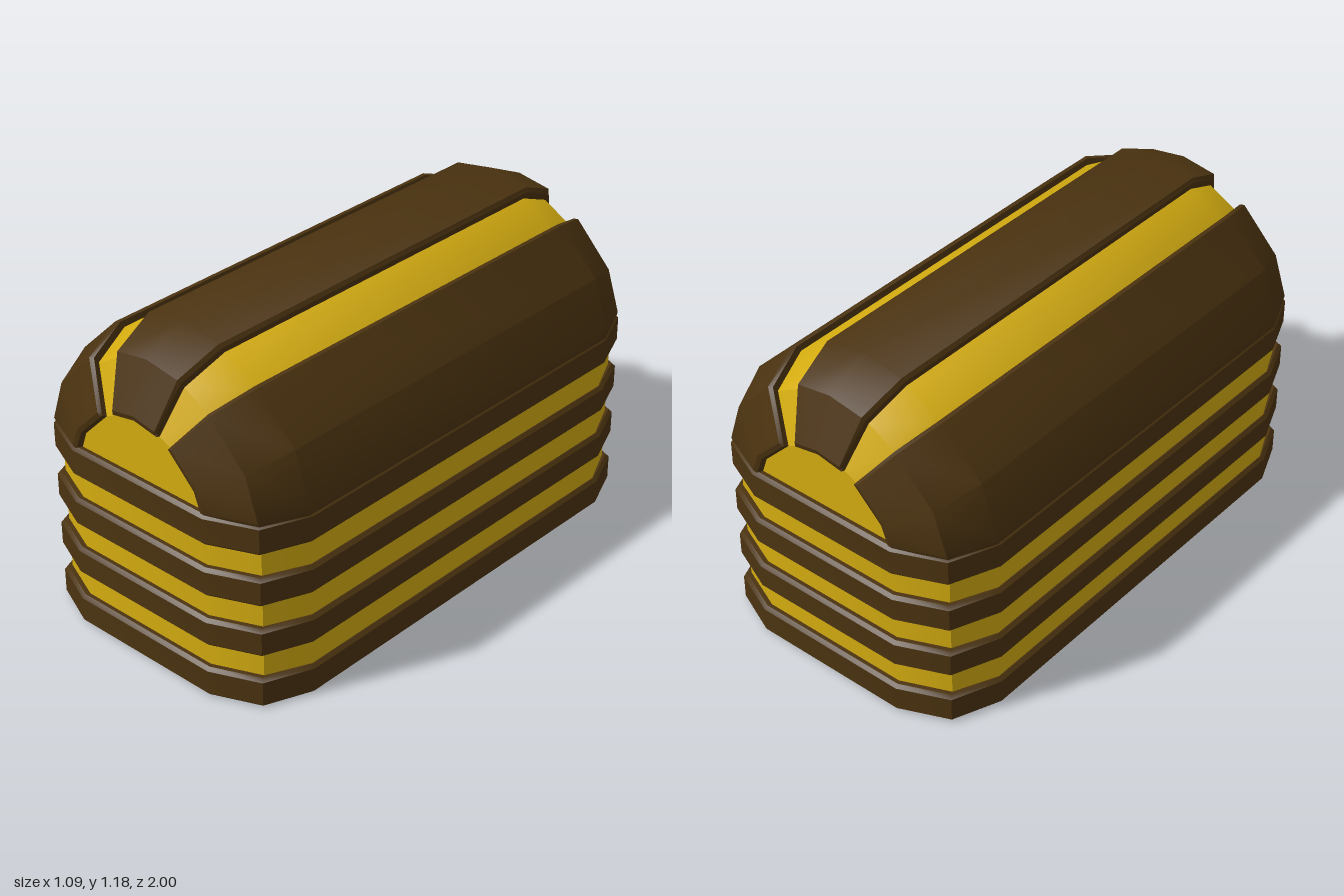
import * as THREE from 'three';
import { toCreasedNormals } from 'three/addons/utils/BufferGeometryUtils.js';

const CREASE = 0.58;

// Half arches [x, y] from the ridge down to the eave: end face, shoulder, full body
const END = [[0, 0.925], [0.1, 0.907], [0.152, 0.882], [0.262, 0.775], [0.29, 0.7]];
const SHOULDER = [[0, 1.113], [0.145, 1.09], [0.262, 1.028], [0.42, 0.865], [0.475, 0.7]];
const FULL = [[0, 1.185], [0.168, 1.158], [0.308, 1.077], [0.48, 0.91], [0.545, 0.7]];
const ARCHES = [END, SHOULDER, FULL, FULL, SHOULDER, END];
const STATIONS = [1, 0.925, 0.765, -0.765, -0.925, -1];

// Control point of the dome; depth 0 is the outer shell, depth 1 the recessed core
function control(s, t, depth) {
  const [x, y] = ARCHES[s][Math.abs(t)];
  const drop = s === 0 || s === 5 ? 0.012 : 0.032;
  return new THREE.Vector3(Math.sign(t) * x * (1 - 0.03 * depth), y - drop * depth, STATIONS[s] * (1 - 0.026 * depth));
}

// Point between the control points
function domePoint(s, t, depth) {
  const s0 = Math.min(Math.floor(s), 4), t0 = Math.min(Math.floor(t), 3);
  const a = control(s0, t0, depth).lerp(control(s0, t0 + 1, depth), t - t0);
  const b = control(s0 + 1, t0, depth).lerp(control(s0 + 1, t0 + 1, depth), t - t0);
  return a.lerp(b, s - s0);
}

// Grid over rows (along the length) and columns (across), each given as [parameter, depth]
function domeGrid(rows, cols) {
  const positions = [], index = [], n = cols.length;
  rows.forEach(([s, ds], i) => cols.forEach(([t, dt], j) => {
    positions.push(...domePoint(s, t, Math.max(ds, dt)).toArray());
    if (i && j) {
      const c = i * n + j, a = c - n - 1;
      index.push(a, a + 1, c, a, c, c - 1);
    }
  }));
  const geometry = new THREE.BufferGeometry();
  geometry.setAttribute('position', new THREE.Float32BufferAttribute(positions, 3));
  geometry.setIndex(index);
  return toCreasedNormals(geometry, CREASE);
}

// Parameters from a to b with a wall and a small bevel at both ends
function bevelled(a, b) {
  const list = [[a, 1], [a, 0.35], [a + 0.07, 0]];
  for (let k = a + 1; k < b; k++) list.push([k, 0]);
  return [...list, [b - 0.07, 0], [b, 0.35], [b, 1]];
}

// Rectangle with two-step corners, seen from above
function planShape(corner) {
  const [p, q, r] = corner;
  const quarter = [p, q, r];
  const flip = (sx, sz) => quarter.map(([x, z]) => new THREE.Vector2(x * sx, z * sz));
  return new THREE.Shape([...flip(1, 1), ...flip(-1, 1).reverse(), ...flip(-1, -1), ...flip(1, -1).reverse()]);
}

function slab(corner, y0, y1, bevel) {
  const geometry = new THREE.ExtrudeGeometry(planShape(corner), {
    depth: y1 - y0 - 2 * bevel, bevelEnabled: bevel > 0,
    bevelSize: bevel, bevelThickness: bevel, bevelOffset: -bevel, bevelSegments: 1,
  });
  geometry.rotateX(-Math.PI / 2).translate(0, y0 + bevel, 0);
  return toCreasedNormals(geometry, CREASE);
}

export function createModel() {
  const model = new THREE.Group();
  const brown = new THREE.MeshStandardMaterial({ color: 0x4b3310 });
  const yellow = new THREE.MeshStandardMaterial({ color: 0xd4ac10 });
  const add = (name, geometry, material) => {
    const mesh = new THREE.Mesh(geometry, material);
    mesh.name = name;
    model.add(mesh);
    return mesh;
  };

  // Recessed lower body and the raised bands around it
  add('bodyCore', slab([[0.53, 0.75], [0.46, 0.902], [0.29, 0.974]], 0.03, 0.69, 0), yellow);
  [[0, 0.112], [0.2, 0.306], [0.395, 0.502], [0.59, 0.703]].forEach(([y0, y1], i) =>
    add(`band${i + 1}`, slab([[0.545, 0.755], [0.475, 0.925], [0.3, 1]], y0, y1, 0.012), brown));

  // Recessed dome with flat ends
  const rows = [0, 1, 2, 3, 4, 5].map((s) => [s, 1]);
  const cols = [-4, -3, -2, -1, 0, 1, 2, 3, 4].map((t) => [t, 1]);
  add('domeCore', domeGrid(rows, cols), yellow);
  const outline = cols.map(([t]) => domePoint(0, t, 1));
  const endFace = new THREE.ShapeGeometry(new THREE.Shape(outline.map((p) => new THREE.Vector2(p.x, p.y))));
  endFace.translate(0, 0, outline[0].z);
  add('frontEndFace', endFace, yellow);
  add('backEndFace', endFace, yellow).rotation.y = Math.PI;

  // Raised roof panels
  const length = bevelled(0, 5);
  add('ridgePanel', domeGrid(length, bevelled(-1, 1)), brown);
  add('leftRoofPanel', domeGrid(length, bevelled(2, 4)), brown);
  add('rightRoofPanel', domeGrid(length, bevelled(-4, -2)), brown);
  return model;
}
